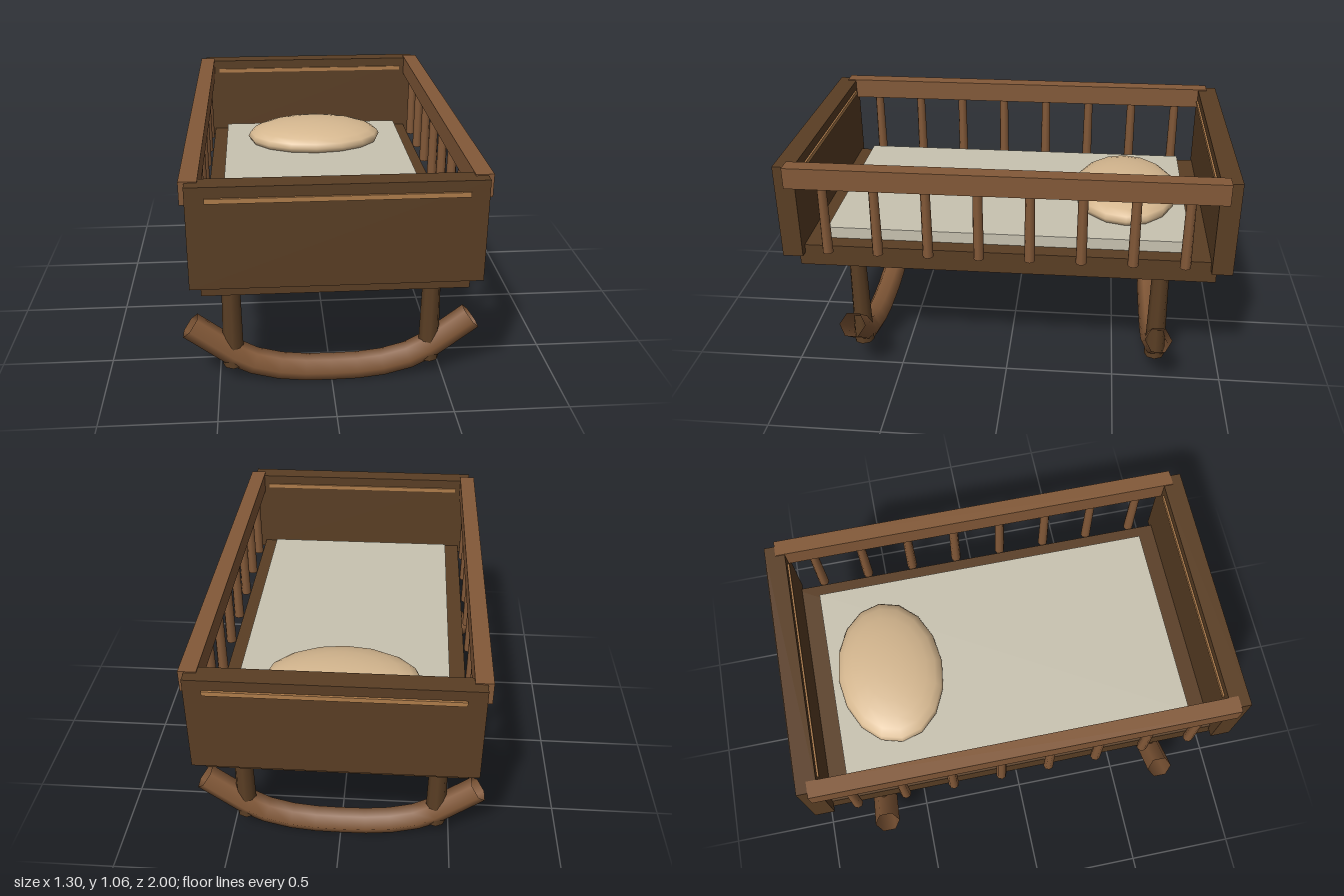
import * as THREE from 'three';

// Smooth-ended polyline so the rocker keeps its chosen cross-section stations
class RockerCurve extends THREE.Curve {
  constructor(points) { super(); this.points = points; }
  getPoint(t, target = new THREE.Vector3()) {
    const last = this.points.length - 1;
    const f = Math.min(Math.max(t, 0), 1) * last;
    const i = Math.min(Math.floor(f), last - 1);
    return target.lerpVectors(this.points[i], this.points[i + 1], f - i);
  }
  getPointAt(u, target) { return this.getPoint(u, target); }
  getTangentAt(u, target) { return this.getTangent(u, target); }
}

function material(name, color, side = THREE.FrontSide) {
  const m = new THREE.MeshStandardMaterial({ color, side });
  m.name = name;
  return m;
}

export function createModel() {
  const group = new THREE.Group();
  const darkWood = material('darkWood', 0x5a3e24);
  const midWood = material('midWood', 0x835938, THREE.DoubleSide);
  const trimWood = material('trimWood', 0xb07d4b);
  const linen = material('linen', 0xc9c3b1);
  const cushion = material('cushion', 0xd6b890);

  const add = (name, geometry, mat, x, y, z) => {
    const mesh = new THREE.Mesh(geometry, mat);
    mesh.name = name;
    mesh.position.set(x, y, z);
    group.add(mesh);
    return mesh;
  };
  const box = (name, mat, w, y0, y1, d, x = 0, z = 0) =>
    add(name, new THREE.BoxGeometry(w, y1 - y0, d), mat, x, (y0 + y1) / 2, z);

  // Bed floor, mattress and pillow
  box('base', darkWood, 1.09, 0.56, 0.66, 1.85);
  box('mattress', linen, 0.94, 0.655, 0.713, 1.62);
  const pillow = add('pillow', new THREE.SphereGeometry(1, 16, 12), cushion, 0, 0.737, -0.53);
  pillow.scale.set(0.353, 0.084, 0.247);

  // End boards with a thin trim strip showing on both faces
  for (const s of [1, -1]) {
    box('endBoard', darkWood, 1.17, 0.623, 1.055, 0.09, 0, s * 0.943);
    box('trimStrip', trimWood, 1.02, 0.99, 1.01, 0.108, 0, s * 0.944);
  }

  // Side rails and their rows of spindles
  const spindle = new THREE.CylinderGeometry(0.021, 0.024, 0.33, 8);
  for (const s of [1, -1]) {
    box('sideRail', midWood, 0.073, 0.965, 1.06, 1.88, s * 0.572);
    for (let i = 0; i < 8; i++) {
      add('spindle', spindle, midWood, s * 0.572, 0.81, -0.785 + i * 0.2243);
    }
  }

  // Legs, and hexagonal bent rockers beneath them
  const half = [[0.617, 0.291], [0.43, 0.147], [0.344, 0.101], [0.229, 0.07], [0.115, 0.057]];
  const points = [
    ...half.map(([x, y]) => new THREE.Vector3(-x, y, 0)),
    new THREE.Vector3(0, 0.055, 0),
    ...half.map(([x, y]) => new THREE.Vector3(x, y, 0)).reverse(),
  ];
  const rocker = new THREE.TubeGeometry(new RockerCurve(points), points.length - 1, 0.06, 6, false);
  const leg = new THREE.CylinderGeometry(0.038, 0.047, 0.48, 8);
  for (const z of [0.695, -0.695]) {
    add('rocker', rocker, midWood, 0, 0, z);
    for (const x of [0.435, -0.435]) add('leg', leg, darkWood, x, 0.33, z);
  }
  return group;
}
